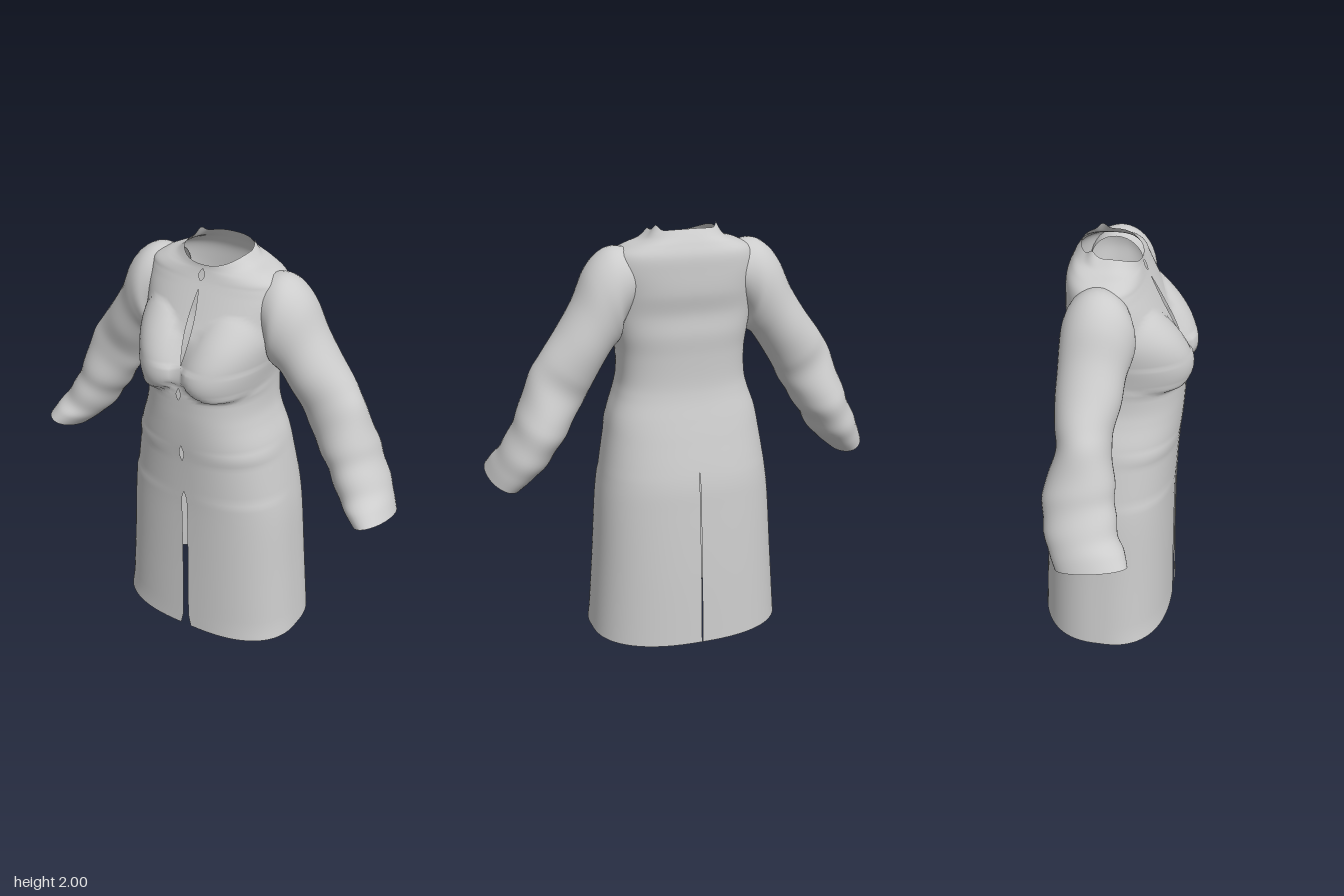
import * as THREE from 'three';
import { mergeVertices } from 'three/addons/utils/BufferGeometryUtils.js';

const cloth = new THREE.MeshStandardMaterial({ color: 0xcccccc, side: THREE.DoubleSide });
cloth.name = 'grey cloth';

// Smooth interpolation through the rows of a table
function sample(rows, t) {
  const i = Math.min(Math.floor(t), rows.length - 2), f = t - i;
  const at = k => rows[Math.max(0, Math.min(rows.length - 1, k))];
  return rows[0].map((_, k) => {
    const [a, b, c, d] = [at(i - 1)[k], at(i)[k], at(i + 1)[k], at(i + 2)[k]];
    return b + 0.5 * f * (c - a + f * (2 * a - 5 * b + 4 * c - d + f * (3 * (b - c) + d - a)));
  });
}

// Grid surface from point(u, v), built once for each listed side (+1 left, -1 right)
function surface(nu, nv, point, sides) {
  const pos = [], idx = [];
  for (const s of sides) {
    const base = pos.length / 3;
    for (let j = 0; j <= nv; j++) for (let i = 0; i <= nu; i++) {
      const [x, y, z] = point(i / nu, j / nv);
      pos.push(x * s, y, z);
    }
    for (let j = 0; j < nv; j++) for (let i = 0; i < nu; i++) {
      const a = base + j * (nu + 1) + i, b = a + 1, d = a + nu + 1, c = d + 1;
      idx.push(...(s > 0 ? [a, b, c, a, c, d] : [a, c, b, a, d, c]));
    }
  }
  let g = new THREE.BufferGeometry();
  g.setAttribute('position', new THREE.Float32BufferAttribute(pos, 3));
  g.setIndex(idx);
  g = mergeVertices(g, 1e-4);
  g.computeVertexNormals();
  return g;
}

// Body rows, hem to neck: front y, side y, back y, half width, front z, back z
const level = (y, w, f, b) => [y, y, y, w, f, b];
const BODY = [
  level(0, 0.47, 0.30, -0.35), level(0.35, 0.445, 0.295, -0.335), level(0.66, 0.425, 0.295, -0.315),
  level(0.82, 0.405, 0.30, -0.30), level(1.0, 0.375, 0.31, -0.26), level(1.1, 0.355, 0.32, -0.235),
  level(1.2, 0.32, 0.327, -0.21), level(1.28, 0.302, 0.33, -0.20), level(1.4, 0.30, 0.33, -0.20),
  level(1.5, 0.315, 0.31, -0.205), level(1.6, 0.33, 0.27, -0.20), level(1.7, 0.335, 0.22, -0.215),
  level(1.8, 0.345, 0.17, -0.215),
  [1.85, 1.87, 1.87, 0.325, 0.145, -0.21], [1.885, 1.905, 1.92, 0.27, 0.13, -0.19],
  [1.91, 1.93, 1.955, 0.20, 0.122, -0.17], [1.925, 1.97, 1.985, 0.155, 0.12, -0.15],
];

// Gaps between the closures: centre y, half height, half width
const GAPS = [[1.88, 0.025, 0.014], [1.665, 0.155, 0.016], [1.37, 0.025, 0.012], [1.045, 0.04, 0.011]];
function frontGap(y) {
  if (y < 0.82) return 0.014 * Math.min(1, (0.82 - y) / 0.04) + 0.015 * Math.max(0, 1 - y / 0.07);
  for (const [c, h, w] of GAPS) {
    const d = (y - c) / h;
    if (Math.abs(d) < 1) return w * (1 - d * d);
  }
  return 0;
}

function bust(x, y) {
  const dx = (x - 0.175) / 0.17, up = y > 1.5;
  const dy = (y - 1.5) / (up ? 0.24 : 0.145);
  const k = Math.max(0, 1 - dx * dx - dy * dy);
  return 0.072 * (up ? Math.pow(k, 0.8) : Math.sqrt(k));
}

function bodyPoint(u, v) {
  const [yF, yS, yB, w, zF, zB] = sample(BODY, v * (BODY.length - 1));
  const a = u * Math.PI, c = Math.cos(a), s = Math.max(0, Math.sin(a)), p = 2 / 2.4, zc = -0.02;
  let y = yS + ((c > 0 ? yF : yB) - yS) * c * c;
  let x = u === 1 ? 0 : w * Math.pow(s, p);
  let z = zc + ((c > 0 ? zF : zB) - zc) * Math.pow(Math.abs(c), p);
  if (c > 0) z += bust(x, y);
  // Small peaks on the neck rim
  if (v > 0.95) y += (v - 0.95) * 20 * 0.025 * Math.exp(-Math.pow((u - 0.64) / 0.06, 2));
  // Front opening and back vent
  x += frontGap(y) * Math.max(0, c) + (y < 0.85 ? 0.002 : 0) * Math.max(0, -c);
  return [x, y, z];
}

// Sleeve rings, shoulder to cuff: outer x, y, inner x, y, front z, back z, tilt
const SLEEVE = [
  [0.24, 1.89, 0.26, 1.62, 0.09, -0.16, 0], [0.33, 1.905, 0.30, 1.54, 0.125, -0.18, 0],
  [0.40, 1.875, 0.305, 1.49, 0.14, -0.19, 0], [0.465, 1.80, 0.32, 1.465, 0.13, -0.19, 0],
  [0.525, 1.67, 0.35, 1.44, 0.11, -0.19, 0], [0.60, 1.55, 0.40, 1.365, 0.10, -0.19, 0],
  [0.68, 1.44, 0.455, 1.27, 0.075, -0.18, 0], [0.74, 1.34, 0.50, 1.185, 0.08, -0.168, 0],
  [0.79, 1.20, 0.56, 1.09, 0.10, -0.21, 0], [0.83, 1.10, 0.615, 1.005, 0.11, -0.213, 0],
  [0.88, 1.00, 0.67, 0.92, 0.13, -0.20, 0], [0.92, 0.93, 0.73, 0.86, 0.165, -0.17, 0.015],
  [0.95, 0.87, 0.79, 0.81, 0.185, -0.135, 0.025],
];

function sleevePoint(u, v) {
  const [ox, oy, ix, iy, zF, zB, tilt] = sample(SLEEVE, v * (SLEEVE.length - 1));
  const a = u * Math.PI * 2, fold = v > 0.5 && v < 0.95 ? Math.sin((v - 0.5) / 0.45 * Math.PI) : 0;
  const r = 1 + 0.025 * fold * Math.sin(v * 48 + 2 * Math.sin(a));
  const c = Math.cos(a) * r, s = Math.sin(a) * r;
  return [
    (ox + ix) / 2 + (ox - ix) / 2 * c,
    (oy + iy) / 2 + (oy - iy) / 2 * c + tilt * s,
    (zF + zB) / 2 + (zF - zB) / 2 * s,
  ];
}

export function createModel() {
  const coat = new THREE.Group();
  coat.name = 'coat';
  const add = (name, geometry) => {
    const mesh = new THREE.Mesh(geometry, cloth);
    mesh.name = name;
    coat.add(mesh);
  };
  add('coatBody', surface(44, (BODY.length - 1) * 8, bodyPoint, [1, -1]));
  add('leftSleeve', surface(36, (SLEEVE.length - 1) * 6, sleevePoint, [1]));
  add('rightSleeve', surface(36, (SLEEVE.length - 1) * 6, sleevePoint, [-1]));
  return coat;
}
